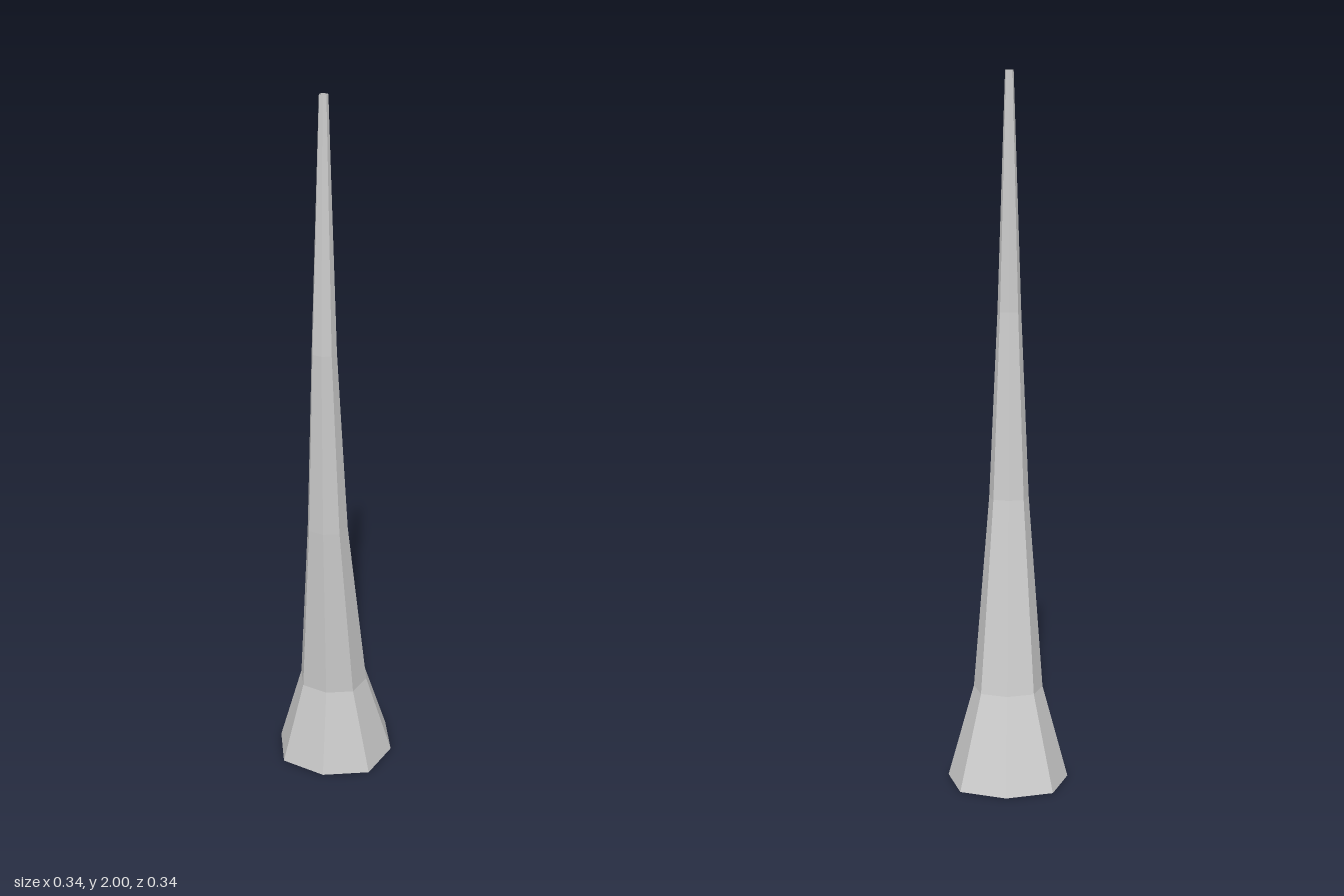
import * as THREE from 'three';

// Rings from tip to base: [height, radius, z of the centre]
const RINGS = [
  [2.0, 0.012, 0.133],
  [1.33, 0.034, 0.135],
  [0.8, 0.057, 0.1],
  [0.26, 0.099, 0.026],
  [0, 0.172, 0],
];
const SIDES = 8;
const CORNER = 1.07; // diagonal corners sit slightly further out

export function createModel() {
  const group = new THREE.Group();
  group.name = 'spike';

  // Open eight-sided tube, bent and tapered ring by ring
  const geometry = new THREE.CylinderGeometry(1, 1, 1, SIDES, RINGS.length - 1, true);
  const pos = geometry.attributes.position;
  for (let i = 0; i < pos.count; i++) {
    const [y, radius, z] = RINGS[Math.floor(i / (SIDES + 1))];
    const side = i % (SIDES + 1);
    const r = radius * (side % 2 ? CORNER : 1);
    const a = (side / SIDES) * Math.PI * 2;
    pos.setXYZ(i, Math.sin(a) * r, y, z + Math.cos(a) * r);
  }
  geometry.computeVertexNormals();

  const material = new THREE.MeshStandardMaterial({
    color: 0xcccccc,
    flatShading: true,
    side: THREE.DoubleSide,
  });
  const shell = new THREE.Mesh(geometry, material);
  shell.name = 'curvedShell';
  group.add(shell);
  return group;
}
